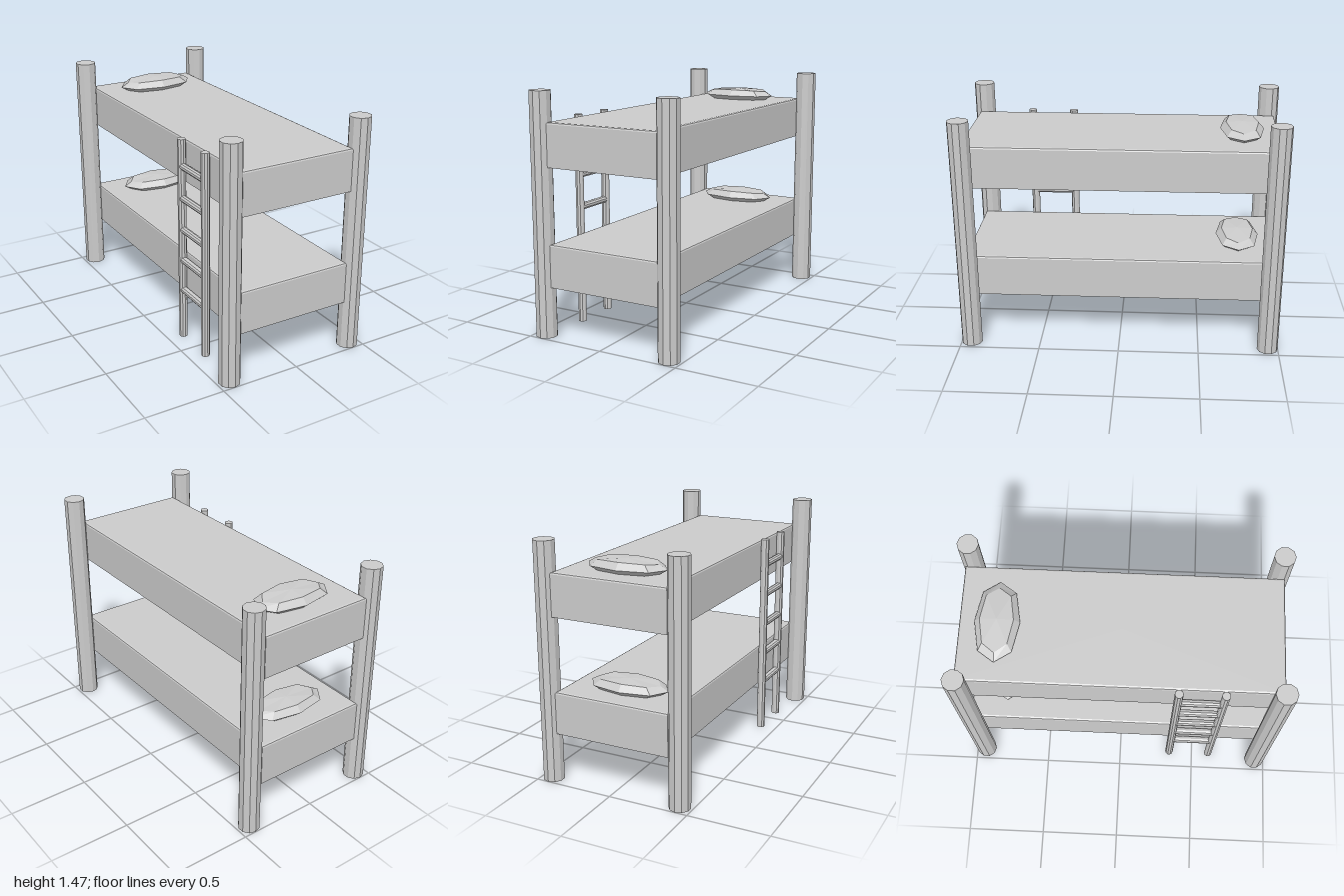
import * as THREE from 'three';

const material = new THREE.MeshStandardMaterial({ color: 0xcccccc, flatShading: true });

function add(parent, name, geometry, x = 0, y = 0, z = 0) {
  const mesh = new THREE.Mesh(geometry, material);
  mesh.name = name;
  mesh.position.set(x, y, z);
  parent.add(mesh);
  return mesh;
}

// Solid from stacked rings of [x, y, z] points, listed bottom to top and
// counter-clockwise seen from above; both ends close onto a centre point.
function loft(rings, bottomCentre, topCentre) {
  const n = rings[0].length;
  const positions = [...rings.flat(), bottomCentre, topCentre].flat();
  const bottom = rings.length * n, top = bottom + 1, last = (rings.length - 1) * n;
  const index = [];
  for (let i = 0; i < n; i++) {
    const j = (i + 1) % n;
    for (let r = 0; r < rings.length - 1; r++) {
      const a = r * n + i, b = r * n + j;
      index.push(a, b, b + n, a, b + n, a + n);
    }
    index.push(bottom, j, i, top, last + i, last + j);
  }
  const geometry = new THREE.BufferGeometry();
  geometry.setAttribute('position', new THREE.Float32BufferAttribute(positions, 3));
  geometry.setIndex(index);
  const flat = geometry.toNonIndexed();
  flat.computeVertexNormals();
  return flat;
}

// Deep mattress block with a small bevel around the top
function mattressGeometry() {
  const rect = (inset, y) => {
    const x = 0.368 - inset, z = 0.965 - inset;
    return [[-x, y, z], [x, y, z], [x, y, -z], [-x, y, -z]];
  };
  return loft([rect(0, 0), rect(0, 0.25), rect(0.004, 0.258), rect(0.014, 0.262)],
    [0, 0, 0], [0, 0.262, 0]);
}

// Faceted eight-sided cushion
function pillowGeometry() {
  const ring = (rx, rz, y, crown = 0) => Array.from({ length: 8 }, (_, i) => {
    const a = i * Math.PI / 4, s = Math.sin(a), c = Math.cos(a);
    const bulge = i % 2 ? 1.04 : 1;
    return [s * rx * bulge, y + crown * Math.abs(c), c * rz * bulge];
  });
  return loft([ring(0.2, 0.1, 0), ring(0.255, 0.135, 0.03), ring(0.205, 0.1, 0.057, 0.012)],
    [0, 0, 0], [0, 0.075, 0]);
}

export function createModel() {
  const model = new THREE.Group();
  model.name = 'bunkBed';

  // Corner posts
  const post = new THREE.CylinderGeometry(0.065, 0.065, 1.465, 10);
  for (const x of [-0.424, 0.424])
    for (const z of [-0.935, 0.935]) add(model, 'post', post, x, 0.7325, z);

  // Two bunks, each with its pillow
  const mattress = mattressGeometry(), pillow = pillowGeometry();
  for (const [name, y] of [['lowerBunk', 0.31], ['upperBunk', 1.025]]) {
    const bunk = new THREE.Group();
    bunk.name = name;
    bunk.position.y = y;
    add(bunk, 'mattress', mattress, 0, 0, -0.005);
    add(bunk, 'pillow', pillow, 0, 0.26, -0.74);
    model.add(bunk);
  }

  // Ladder on the right side, near the front
  const ladder = new THREE.Group();
  ladder.name = 'ladder';
  ladder.position.set(-0.394, 0, 0.478);
  const rail = new THREE.CylinderGeometry(0.026, 0.026, 1.295, 10);
  for (const z of [-0.136, 0.136]) add(ladder, 'rail', rail, 0, 0.6475, z);
  const rung = new THREE.CylinderGeometry(0.022, 0.022, 0.25, 10).rotateX(Math.PI / 2);
  for (let i = 0; i < 5; i++) add(ladder, 'rung', rung, 0, 0.325 + i * 0.201, 0);
  model.add(ladder);

  return model;
}
